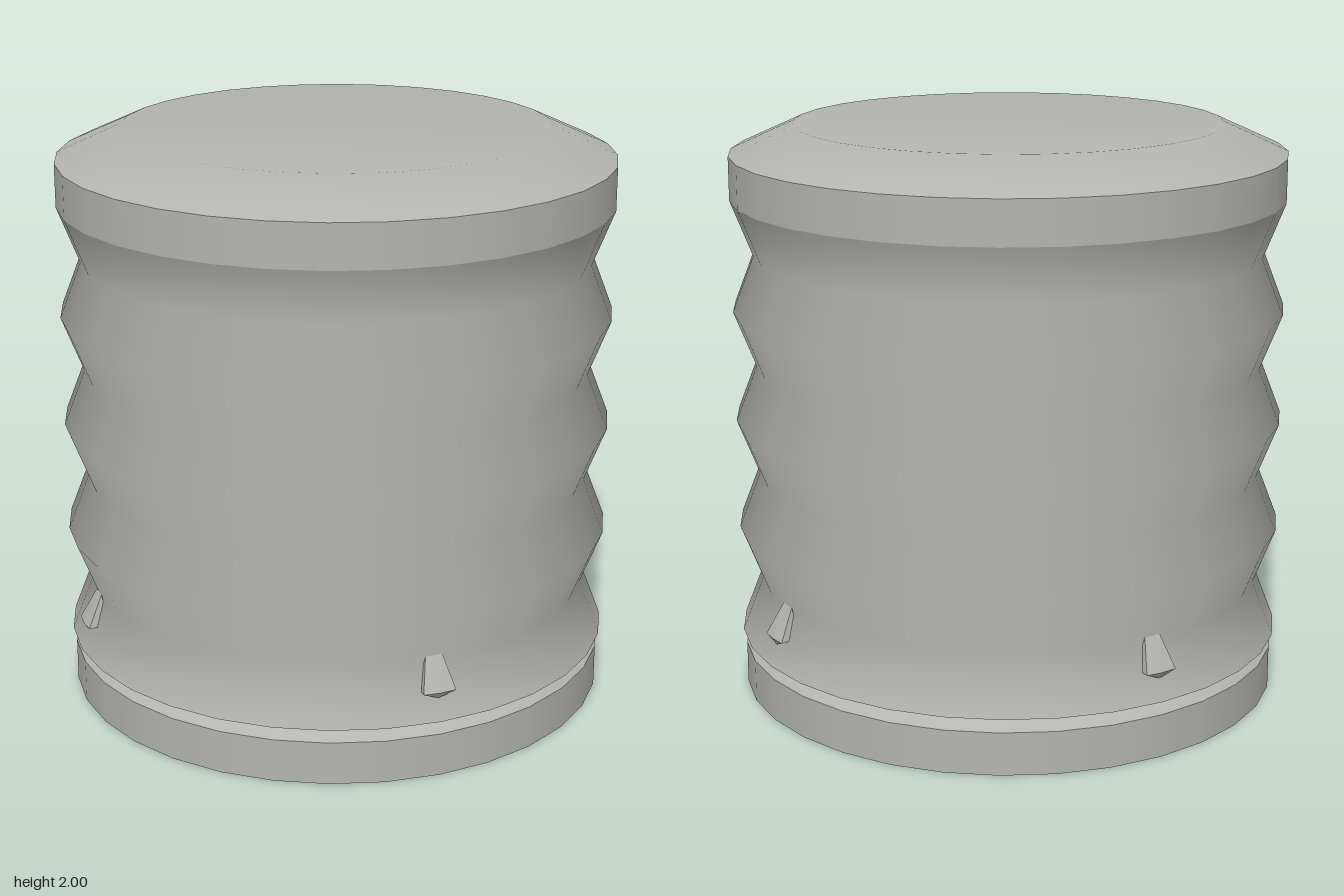
import * as THREE from 'three';

const SIDES = 32;

export function createModel() {
  const model = new THREE.Group();
  model.name = 'ribbedCanister';
  const grey = new THREE.MeshStandardMaterial({ color: 0xb4b5b1 });
  grey.name = 'warm grey';

  const add = (name, geometry, parent = model) => {
    const mesh = new THREE.Mesh(geometry, grey);
    mesh.name = name;
    parent.add(mesh);
    return mesh;
  };
  // Surface of revolution from [radius, height] pairs, listed bottom to top
  const lathe = (name, points) =>
    add(name, new THREE.LatheGeometry(points.map(([r, y]) => new THREE.Vector2(r, y)), SIDES));

  // Base drum with a bevelled shoulder
  lathe('baseUnderside', [[0, 0], [0.95, 0]]);
  lathe('baseWall', [[0.95, 0], [0.95, 0.15]]);
  lathe('baseShoulder', [[0.95, 0.15], [0.89, 0.2]]);

  // Concertina body: crests and valleys alternate, smoothly shaded
  const folds = [];
  for (let i = 0; i <= 8; i++) folds.push([i % 2 ? 0.885 : 0.96, 0.2 + i * (1.55 / 8)]);
  lathe('bodyUnderside', [[0.86, 0.2], [0.96, 0.2]]);
  lathe('bodyWall', folds);

  // Lid with an upright rim and a softly shaded crown
  lathe('lidRim', [[0.96, 1.75], [0.96, 1.9]]);
  lathe('lidCrown', [[0.96, 1.9], [0.74, 2], [0, 2]]);

  // Clip: tapered tongue with a pointed underside; local z points outwards
  const clipShape = new THREE.BufferGeometry();
  clipShape.setAttribute('position', new THREE.Float32BufferAttribute([
    -0.03, 0.41, 0.89, 0.03, 0.41, 0.89, // top edge
    -0.058, 0.3, 0.945, 0.058, 0.3, 0.945, // lower corners
    0, 0.3, 0.95, // middle of lower edge
    0, 0.275, 0.934, // tip
    -0.05, 0.3, 0.87, 0.05, 0.3, 0.87, // buried back corners
  ], 3));
  clipShape.setIndex([
    0, 2, 4, 0, 4, 1, 1, 4, 3, // face
    4, 2, 5, 3, 4, 5, // lower facets
    2, 6, 5, 7, 3, 5, // underside
    0, 6, 2, 1, 3, 7, // sides
  ]);
  const clipGeometry = clipShape.toNonIndexed();
  clipGeometry.computeVertexNormals();

  // Four clips on the diagonals, each with a small tab below the skirt
  for (let i = 0; i < 4; i++) {
    const clip = new THREE.Group();
    clip.name = 'clip' + (i + 1);
    clip.rotation.y = Math.PI / 4 + i * Math.PI / 2;
    model.add(clip);
    add('clipTongue', clipGeometry, clip);
    add('clipTab', new THREE.BoxGeometry(0.1, 0.02, 0.05), clip).position.set(0, 0.203, 0.895);
  }
  return model;
}
